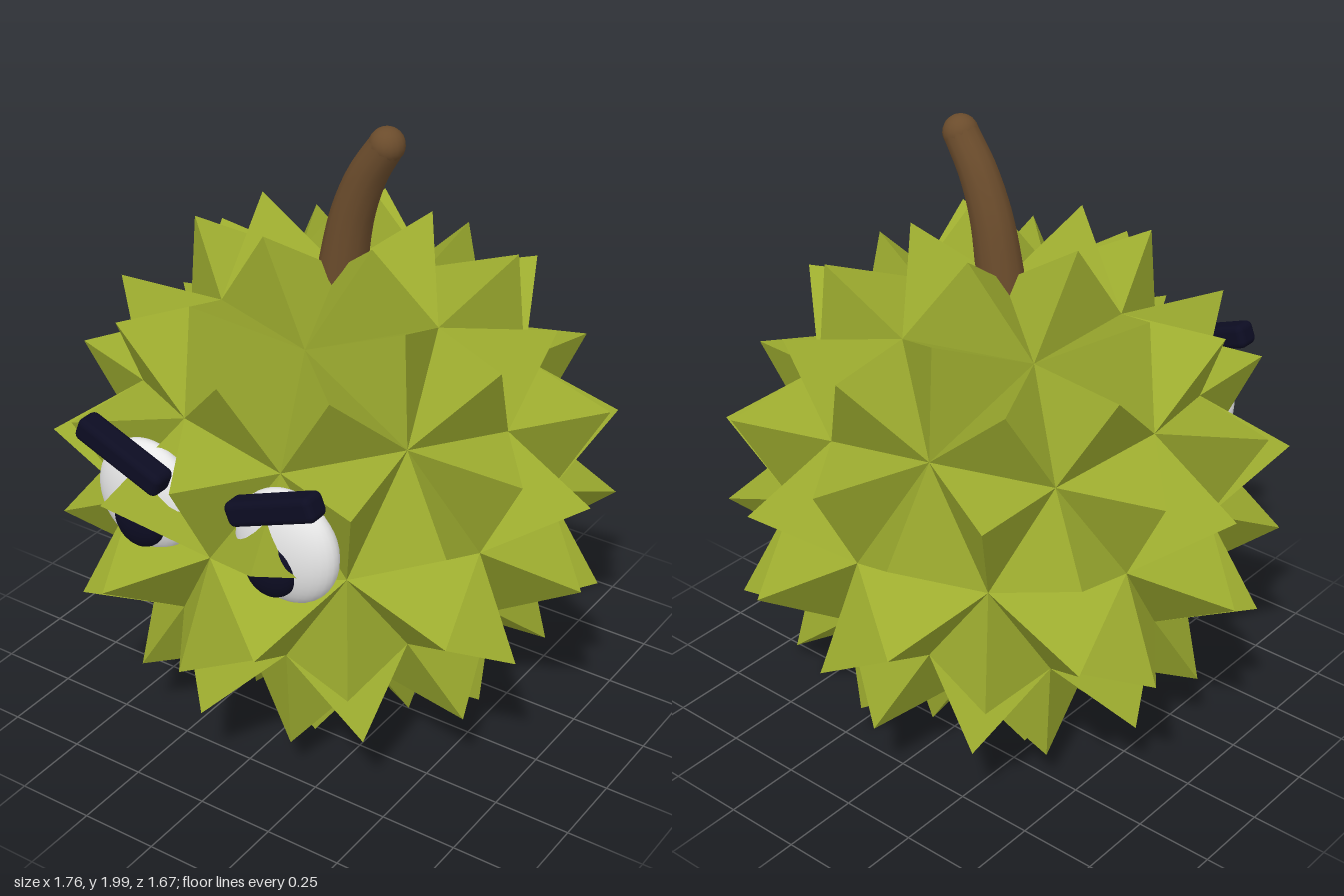
import * as THREE from 'three';
import { RoundedBoxGeometry } from 'three/addons/geometries/RoundedBoxGeometry.js';

const CENTRE_Y = 0.85, CORE = 0.667, SPIKE = 0.26;

const mat = (name, color) => {
  const m = new THREE.MeshStandardMaterial({ color });
  m.name = name;
  return m;
};

// Icosphere with a vertex at the top; every face is pulled out into a three-sided spike
function spikyGeometry() {
  const ring = (y, deg) => Array.from({ length: 5 }, (_, i) => {
    const a = THREE.MathUtils.degToRad(deg + 72 * i), r = Math.sqrt(1 - y * y);
    return new THREE.Vector3(r * Math.cos(a), y, r * Math.sin(a));
  });
  const s = 1 / Math.sqrt(5);
  const top = new THREE.Vector3(0, 1, 0), bottom = new THREE.Vector3(0, -1, 0);
  const up = ring(s, 0), low = ring(-s, 36);
  const pos = [];

  const spike = (a, b, c) => {
    const p = [a, b, c].map((v) => v.clone().multiplyScalar(CORE));
    const centre = p[0].clone().add(p[1]).add(p[2]).divideScalar(3);
    const n = p[1].clone().sub(p[0]).cross(p[2].clone().sub(p[0])).normalize();
    if (n.dot(centre) < 0) {
      n.negate();
      p.reverse();
    }
    const tip = centre.addScaledVector(n, SPIKE);
    for (let i = 0; i < 3; i++) {
      for (const v of [p[i], p[(i + 1) % 3], tip]) pos.push(v.x, v.y, v.z);
    }
  };
  const mid = (a, b) => a.clone().add(b).normalize();
  const split = (a, b, c) => {
    const ab = mid(a, b), bc = mid(b, c), ca = mid(c, a);
    spike(a, ab, ca);
    spike(b, bc, ab);
    spike(c, ca, bc);
    spike(ab, bc, ca);
  };
  for (let i = 0; i < 5; i++) {
    const j = (i + 1) % 5;
    split(top, up[i], up[j]);
    split(up[i], low[i], up[j]);
    split(low[i], low[j], up[j]);
    split(bottom, low[i], low[j]);
  }
  const g = new THREE.BufferGeometry();
  g.setAttribute('position', new THREE.Float32BufferAttribute(pos, 3));
  g.computeVertexNormals();
  return g;
}

// Tube whose radius shrinks evenly along its path
function taperedTube(curve, segments, sides, r0, r1) {
  const g = new THREE.TubeGeometry(curve, segments, 1, sides);
  const p = g.attributes.position, v = new THREE.Vector3();
  for (let i = 0; i < p.count; i++) {
    const t = Math.floor(i / (sides + 1)) / segments;
    const c = curve.getPointAt(t);
    v.fromBufferAttribute(p, i).sub(c).multiplyScalar(r0 + (r1 - r0) * t).add(c);
    p.setXYZ(i, v.x, v.y, v.z);
  }
  return g;
}

export function createModel() {
  const model = new THREE.Group();
  model.name = 'spikyFruit';
  const green = mat('huskGreen', 0x9dac2f);
  const brown = mat('stemBrown', 0x6b4c2c);
  const white = mat('eyeWhite', 0xf0f0f0);
  const dark = mat('darkNavy', 0x0c0c22);

  const add = (name, geometry, material, x, y, z) => {
    const m = new THREE.Mesh(geometry, material);
    m.name = name;
    m.position.set(x, y, z);
    model.add(m);
    return m;
  };

  add('husk', spikyGeometry(), green, 0, CENTRE_Y, 0);

  // Bent stem with a rounded end
  const path = new THREE.CatmullRomCurve3([
    [0, 1.4], [0.02, 1.56], [0.05, 1.71], [0.1, 1.84], [0.165, 1.945],
  ].map(([x, y]) => new THREE.Vector3(x, y, 0)));
  add('stem', taperedTube(path, 16, 12, 0.08, 0.054), brown, 0, 0, 0);
  add('stemTip', new THREE.SphereGeometry(0.054, 16, 12), brown, 0.165, 1.945, 0);

  // Angry face, mirrored
  for (const [side, k] of [['left', 1], ['right', -1]]) {
    add(side + 'Eye', new THREE.SphereGeometry(1, 32, 20), white, 0.25 * k, 0.965, 0.63)
      .scale.set(0.172, 0.18, 0.08);
    add(side + 'Pupil', new THREE.SphereGeometry(1, 24, 16), dark, 0.235 * k, 0.92, 0.69)
      .scale.set(0.088, 0.095, 0.05);
    add(side + 'Eyebrow', new RoundedBoxGeometry(0.315, 0.078, 0.08, 3, 0.022), dark, 0.267 * k, 1.135, 0.712)
      .rotation.z = 0.38 * k;
  }
  return model;
}
